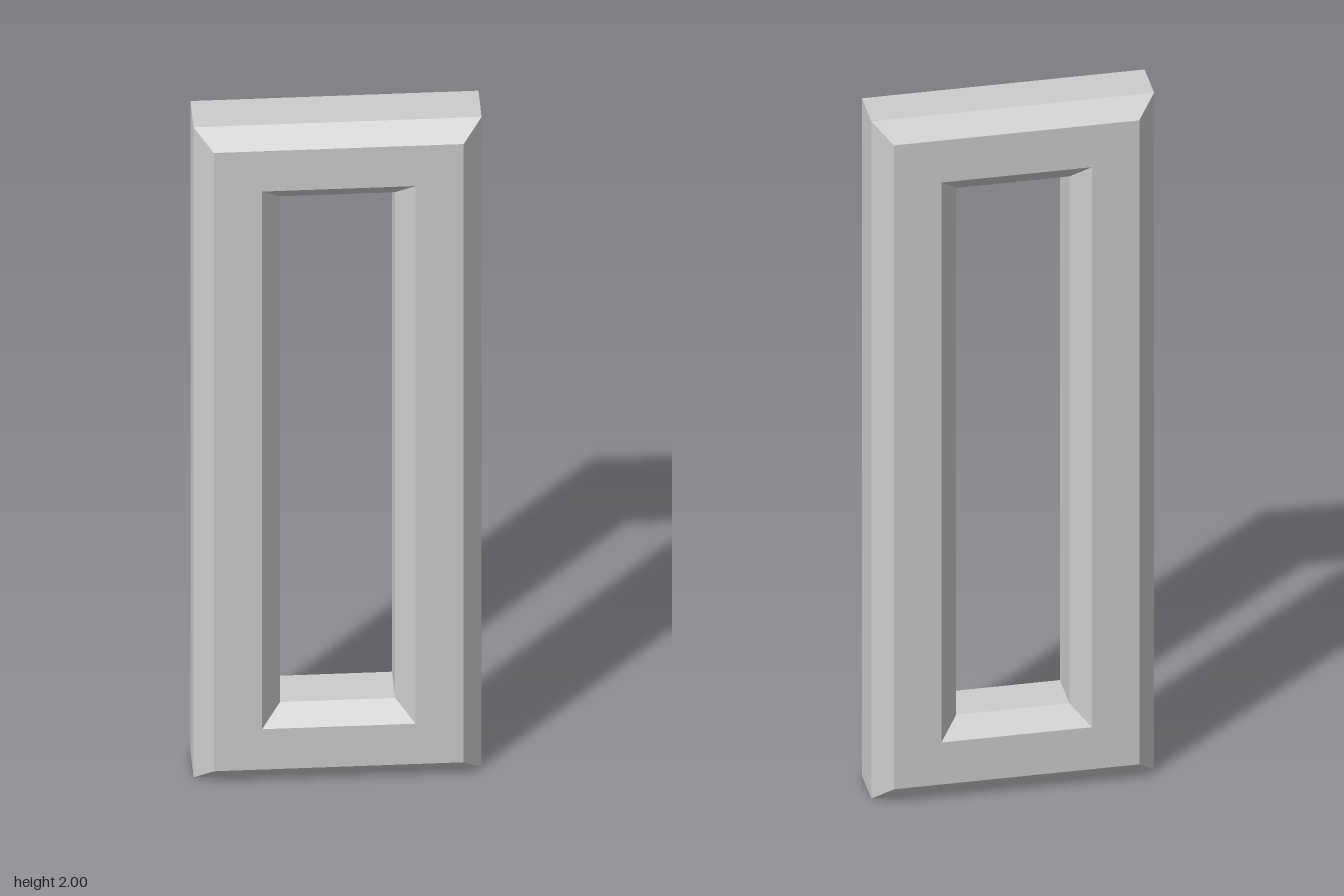
import * as THREE from 'three';

// Octagonal bar section: [inset from the outer edge, z], back to front and round the inside
const SECTION = [
  [0, -0.061], [0, 0.061], [0.049, 0.11], [0.173, 0.11],
  [0.222, 0.061], [0.222, -0.061], [0.173, -0.11], [0.049, -0.11],
];
const HALF_WIDTH = 0.37;
const HALF_HEIGHT = 1;
// Corners counter-clockwise from the front
const CORNERS = [[1, -1], [1, 1], [-1, 1], [-1, -1]];

// One mitred bar between two neighbouring corners of the frame
function barGeometry(from, to) {
  const positions = [];
  const point = ([sx, sy], [inset, z]) => [
    sx * (HALF_WIDTH - inset), HALF_HEIGHT + sy * (HALF_HEIGHT - inset), z,
  ];
  SECTION.forEach((p, j) => {
    const q = SECTION[(j + 1) % SECTION.length];
    const a = point(from, p), b = point(to, p), c = point(to, q), d = point(from, q);
    positions.push(...a, ...b, ...c, ...a, ...c, ...d);
  });
  const geometry = new THREE.BufferGeometry();
  geometry.setAttribute('position', new THREE.Float32BufferAttribute(positions, 3));
  geometry.computeVertexNormals(); // unshared corners keep the facets flat
  return geometry;
}

export function createModel() {
  const model = new THREE.Group();
  model.name = 'bevelledFrame';
  const grey = new THREE.MeshStandardMaterial({ color: 0xcccccc });
  grey.name = 'lightGrey';

  // Four bars meeting at mitred corners
  ['leftBar', 'topBar', 'rightBar', 'bottomBar'].forEach((name, i) => {
    const bar = new THREE.Mesh(barGeometry(CORNERS[i], CORNERS[(i + 1) % 4]), grey);
    bar.name = name;
    model.add(bar);
  });
  return model;
}
